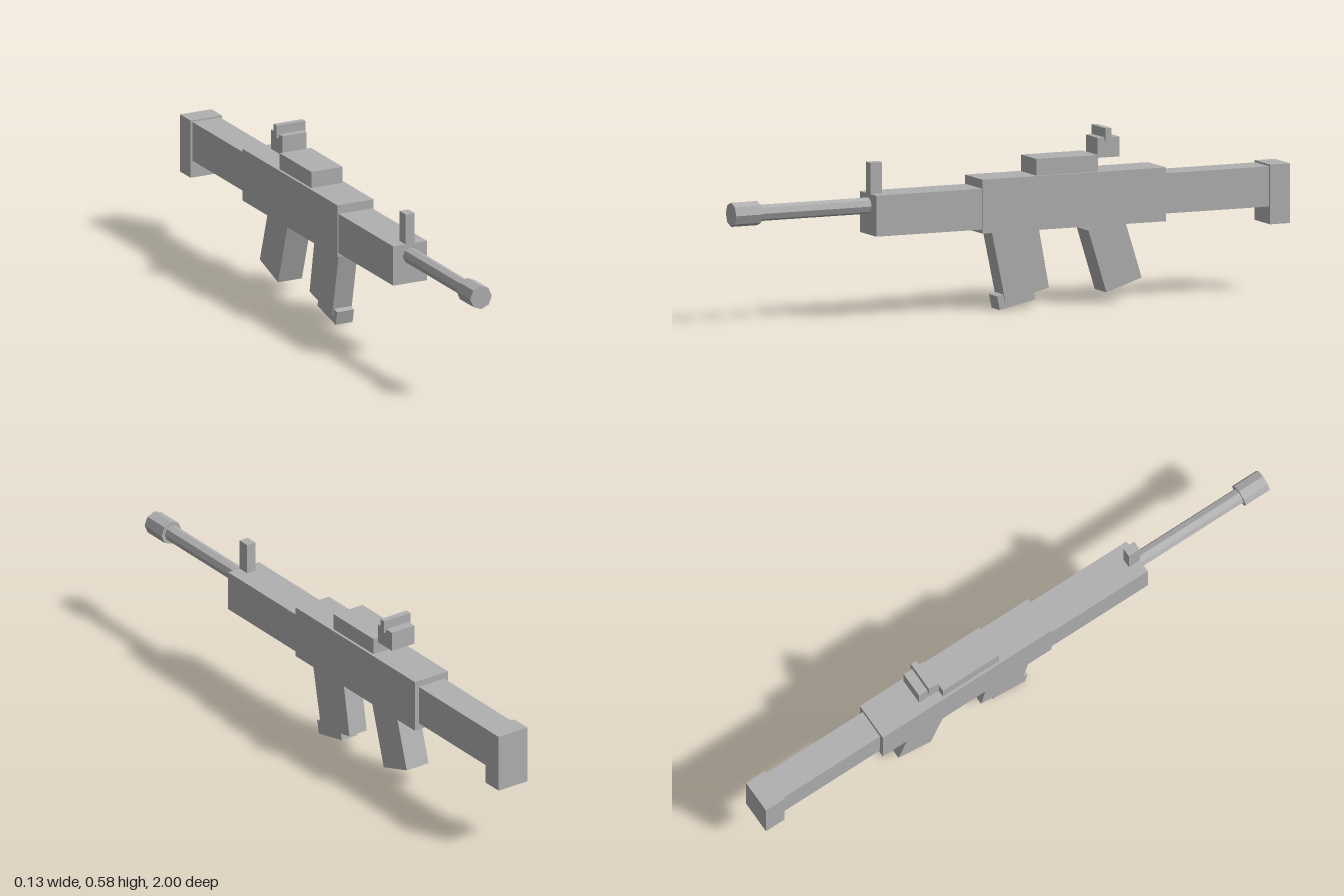
import * as THREE from 'three';

export function createModel() {
  const model = new THREE.Group();
  const gray = new THREE.MeshStandardMaterial({ color: 0xb0b0b0, flatShading: true });
  gray.name = 'plain gray';

  const add = (name, geometry) => {
    const mesh = new THREE.Mesh(geometry, gray);
    mesh.name = name;
    model.add(mesh);
    return mesh;
  };

  // Box centred on x, given its half width and its y and z ranges
  const block = (name, half, y0, y1, z0, z1) =>
    add(name, new THREE.BoxGeometry(half * 2, y1 - y0, z1 - z0))
      .position.set(0, (y0 + y1) / 2, (z0 + z1) / 2);

  // Octagonal rod along z at barrel height
  const rod = (name, radius, z0, z1) =>
    add(name, new THREE.CylinderGeometry(radius, radius, z1 - z0, 8).rotateX(Math.PI / 2))
      .position.set(0, 0.37, (z0 + z1) / 2);

  // Side outline of [z, y] points, extruded evenly across x
  const slab = (name, half, outline) => {
    const shape = new THREE.Shape(outline.map(([z, y]) => new THREE.Vector2(z, y)));
    const geometry = new THREE.ExtrudeGeometry(shape, { depth: half * 2, bevelEnabled: false });
    add(name, geometry.translate(0, 0, -half).rotateY(-Math.PI / 2));
  };

  // Body
  block('receiver', 0.067, 0.262, 0.44, -0.545, 0.12);
  block('handguard', 0.0625, 0.275, 0.41, 0.12, 0.503);
  block('stock', 0.051, 0.285, 0.418, -0.93, -0.545);
  block('buttPlate', 0.058, 0.227, 0.424, -1, -0.927);

  // Top rail and sights
  block('topRail', 0.058, 0.44, 0.495, -0.302, -0.08);
  block('rearSightBase', 0.045, 0.483, 0.549, -0.387, -0.308);
  block('rearSightBar', 0.053, 0.537, 0.58, -0.354, -0.333);
  block('frontSight', 0.0165, 0.405, 0.513, 0.46, 0.503);

  // Barrel and muzzle
  rod('barrel', 0.027, 0.49, 0.91);
  rod('muzzle', 0.04, 0.905, 1);

  // Slanted parts below the receiver
  slab('magazine', 0.035, [[0.072, 0.265], [0.022, 0.027], [-0.136, 0.064], [-0.099, 0.265]]);
  slab('magazineBase', 0.031, [[0.05, 0.046], [0.04, 0], [-0.088, 0.028], [-0.078, 0.075]]);
  slab('grip', 0.044, [[-0.275, 0.245], [-0.34, 0.037], [-0.468, 0.078], [-0.409, 0.265], [-0.31, 0.265]]);

  return model;
}
